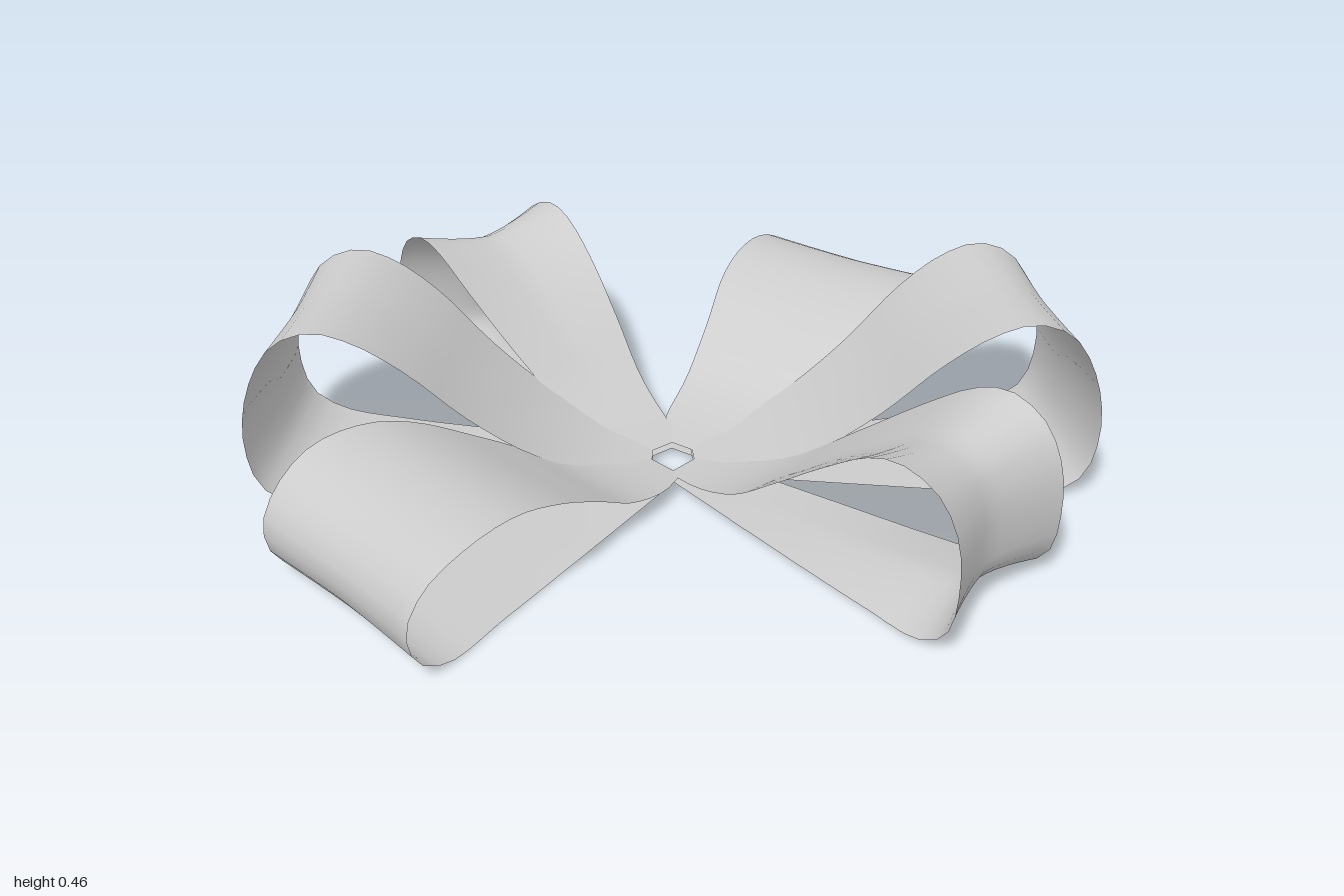
import * as THREE from 'three';

const material = new THREE.MeshStandardMaterial({ color: 0xcccccc, side: THREE.DoubleSide });

// Loop profiles, running out over the top and back along the ground: [radius, height, half width]
const tallProfile = [
  [0.05, 0.03, 0.075], [0.18, 0.055, 0.125], [0.32, 0.12, 0.17], [0.46, 0.225, 0.2], [0.6, 0.36, 0.225],
  [0.71, 0.435, 0.238], [0.8, 0.46, 0.243], [0.89, 0.425, 0.245], [0.955, 0.32, 0.245], [0.982, 0.18, 0.245],
  [0.955, 0.06, 0.245], [0.88, 0.012, 0.24], [0.7, 0.004, 0.2], [0.4, 0.008, 0.14], [0.05, 0.015, 0.07],
];
const narrowProfile = [
  [0.05, 0.03, 0.07], [0.17, 0.05, 0.1], [0.3, 0.1, 0.13], [0.44, 0.2, 0.165], [0.6, 0.32, 0.195],
  [0.71, 0.39, 0.205], [0.79, 0.408, 0.207], [0.88, 0.37, 0.203], [0.93, 0.29, 0.2], [0.945, 0.18, 0.2],
  [0.925, 0.06, 0.2], [0.86, 0.01, 0.195], [0.7, 0.003, 0.17], [0.4, 0.007, 0.125], [0.05, 0.014, 0.07],
];
const lowProfile = [
  [0.05, 0.03, 0.08], [0.15, 0.045, 0.125], [0.27, 0.08, 0.155], [0.42, 0.165, 0.195], [0.58, 0.25, 0.247],
  [0.7, 0.284, 0.267], [0.83, 0.275, 0.278], [0.93, 0.22, 0.268], [0.978, 0.14, 0.262], [0.955, 0.05, 0.26],
  [0.88, 0.01, 0.255], [0.7, 0.003, 0.21], [0.4, 0.006, 0.145], [0.05, 0.013, 0.07],
];

// Sweeps a ribbon strip along a profile; dip is how far its middle sinks in at the tip
function ribbonGeometry(profile, dip) {
  const curve = new THREE.CatmullRomCurve3(profile.map((p) => new THREE.Vector3(...p)), false, 'centripetal');
  const along = 48, across = 12;
  const positions = [], indices = [];
  for (let i = 0; i <= along; i++) {
    const u = i / along;
    const p = curve.getPointAt(u);
    const t = curve.getTangentAt(u);
    const tl = Math.hypot(t.x, t.y);
    const weight = dip * Math.sin(Math.PI * u) ** 3;
    for (let j = 0; j <= across; j++) {
      const v = (j / across) * 2 - 1;
      const sink = weight * (1 - Math.abs(v) ** 1.4);
      positions.push(p.x + (t.y / tl) * sink, p.y - (t.x / tl) * sink, v * p.z);
      if (i < along && j < across) {
        const a = i * (across + 1) + j, b = a + across + 1;
        indices.push(a, a + 1, b, a + 1, b + 1, b);
      }
    }
  }
  const geometry = new THREE.BufferGeometry();
  geometry.setAttribute('position', new THREE.Float32BufferAttribute(positions, 3));
  geometry.setIndex(indices);
  geometry.computeVertexNormals();
  return geometry;
}

export function createModel() {
  const bow = new THREE.Group();
  bow.name = 'ribbonBow';

  const tall = ribbonGeometry(tallProfile, 0.01);
  const narrow = ribbonGeometry(narrowProfile, 0.055);
  const low = ribbonGeometry(lowProfile, 0.008);

  // Six loops around the centre: name, geometry, x and z the tip points to
  const centreZ = 0.03;
  const loops = [
    ['leftLoop', tall, 0.98, -0.045],
    ['rightLoop', tall, -0.98, -0.05],
    ['frontLeftLoop', narrow, 0.685, 0.685],
    ['backRightLoop', narrow, -0.575, -0.72],
    ['frontRightLoop', low, -0.725, 0.695],
    ['backLeftLoop', low, 0.595, -0.74],
  ];
  for (const [name, geometry, x, z] of loops) {
    const loop = new THREE.Mesh(geometry, material);
    loop.name = name;
    loop.position.z = centreZ;
    loop.rotation.y = -Math.atan2(z - centreZ, x);
    bow.add(loop);
  }
  return bow;
}
